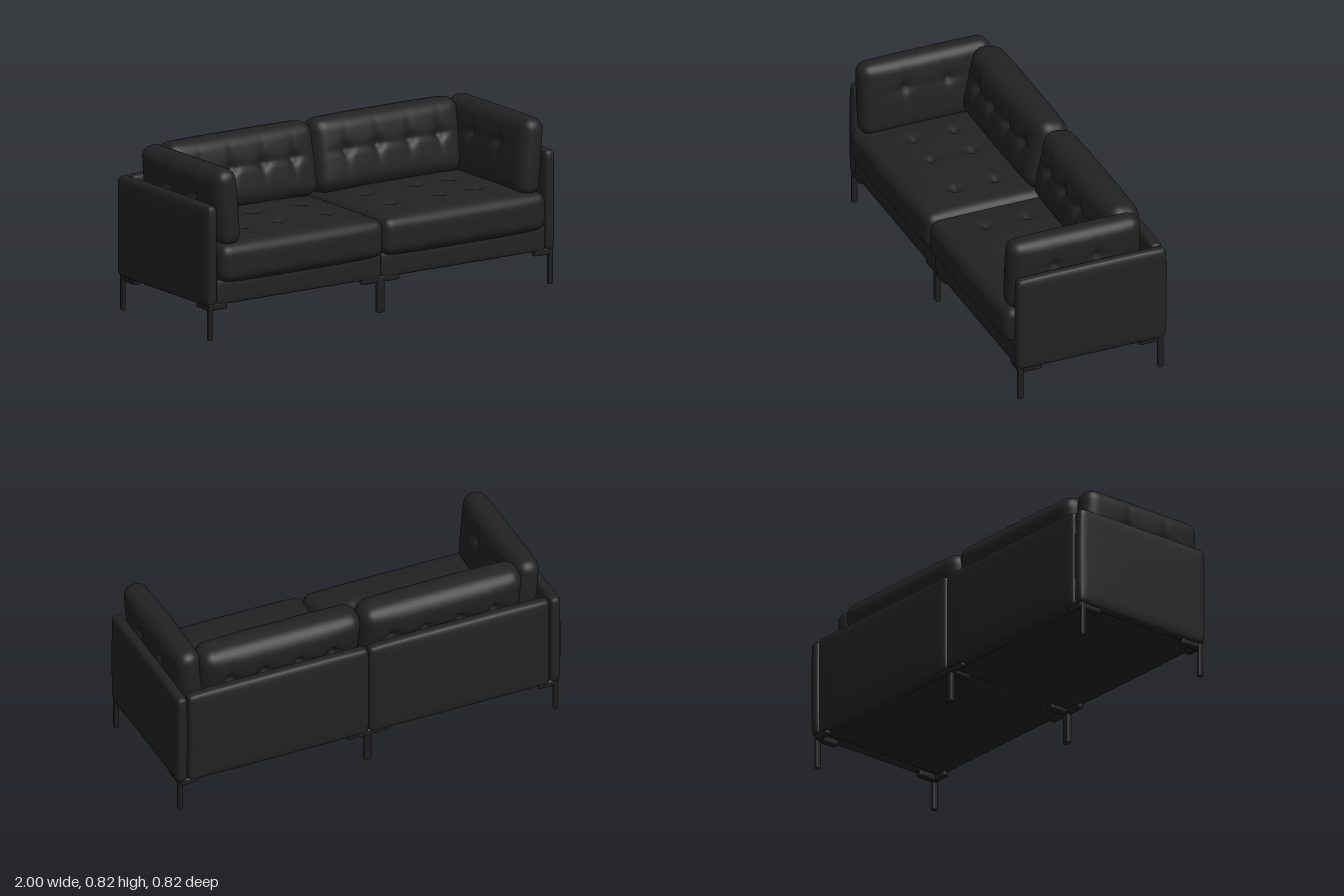
import * as THREE from 'three';
import { mergeVertices } from 'three/addons/utils/BufferGeometryUtils.js';
import { RoundedBoxGeometry } from 'three/addons/geometries/RoundedBoxGeometry.js';

const fabric = new THREE.MeshStandardMaterial({ name: 'charcoal upholstery', color: 0x222222 });
const metal = new THREE.MeshStandardMaterial({ name: 'dark leg metal', color: 0x1e1e1e });

// Rounded, puffed block; tufts are button dimples on the two faces across the thin axis.
function paddedBlock({ size, r, puff = [0, 0, 0], step = 0.014, dense = false, axis = 0, tufts = [], depth = 0 }) {
  const segs = size.map((s) => Math.max(8, Math.round(s / step)));
  let geo = new THREE.BoxGeometry(...size, ...segs);
  geo.deleteAttribute('normal');
  geo.deleteAttribute('uv');
  geo = mergeVertices(geo, 1e-5);
  const pos = geo.attributes.position;
  const half = size.map((s) => s / 2);
  const [a, b] = [0, 1, 2].filter((i) => i !== axis);
  const p = new THREE.Vector3();
  const core = new THREE.Vector3();
  for (let i = 0; i < pos.count; i++) {
    p.fromBufferAttribute(pos, i);
    const q = p.toArray().map((v, k) => (dense ? Math.sin((v / half[k]) * Math.PI / 2) * half[k] : v));
    // round the edges
    core.fromArray(q.map((v, k) => THREE.MathUtils.clamp(v, r - half[k], half[k] - r)));
    p.fromArray(q).sub(core);
    if (p.lengthSq() > 0) p.setLength(r);
    const out = p.add(core).toArray();
    const u = out.map((v, k) => v / half[k]);
    // swell each pair of faces
    const swollen = out.map((v, k) => {
      const [m, n] = [0, 1, 2].filter((j) => j !== k);
      return v + puff[k] * u[k] * (1 - u[m] ** 4) * (1 - u[n] ** 4);
    });
    // pull in the buttons and the creases running from them
    let pull = 0;
    for (const [ta, tb] of tufts) {
      const da = out[a] - ta, db = out[b] - tb;
      const button = Math.exp(-(da * da + db * db) / 0.0008);
      const creaseA = Math.exp(-((da / 0.016) ** 2) - (db / 0.085) ** 2);
      const creaseB = Math.exp(-((db / 0.016) ** 2) - (da / 0.085) ** 2);
      pull += depth * (0.7 * button + 0.25 * creaseA + 0.25 * creaseB);
    }
    swollen[axis] -= u[axis] * pull;
    pos.setXYZ(i, ...swollen);
  }
  geo.computeVertexNormals();
  return geo;
}

export function createModel() {
  const sofa = new THREE.Group();
  sofa.name = 'sofa';
  const add = (name, geo, mat, x, y, z, rx = 0, rz = 0) => {
    const mesh = new THREE.Mesh(geo, mat);
    mesh.name = name;
    mesh.position.set(x, y, z);
    mesh.rotation.set(rx, 0, rz);
    sofa.add(mesh);
  };
  // box given by its lower and upper corners
  const bar = (name, lo, hi, r) => {
    const s = hi.map((v, i) => v - lo[i]);
    add(name, new RoundedBoxGeometry(...s, 3, r), metal, ...lo.map((v, i) => v + s[i] / 2));
  };

  const arm = paddedBlock({ size: [0.056, 0.485, 0.765], r: 0.024, puff: [0.006, 0.005, 0.005], step: 0.03, dense: true });
  const back = paddedBlock({ size: [0.935, 0.485, 0.06], r: 0.022, puff: [0, 0.005, 0.01], step: 0.03, dense: true });
  const base = paddedBlock({ size: [0.94, 0.12, 0.72], r: 0.014, puff: [0, 0, 0.004], step: 0.03, dense: true });
  const seat = paddedBlock({
    size: [0.928, 0.18, 0.735], r: 0.045, puff: [0.002, 0.026, 0.012], axis: 1, depth: 0.022,
    tufts: [-0.28, 0, 0.2].flatMap((x) => [[x, -0.06], [x, 0.15]]),
  });
  const seatMirrored = paddedBlock({
    size: [0.928, 0.18, 0.735], r: 0.045, puff: [0.002, 0.026, 0.012], axis: 1, depth: 0.022,
    tufts: [0.28, 0, -0.2].flatMap((x) => [[x, -0.06], [x, 0.15]]),
  });
  const backCushion = paddedBlock({
    size: [0.83, 0.355, 0.155], r: 0.06, puff: [0.002, 0.006, 0.022], axis: 2, depth: 0.032,
    tufts: [-0.26, -0.085, 0.095, 0.27].map((x) => [x, 0.015]),
  });
  const sideCushion = paddedBlock({
    size: [0.112, 0.37, 0.67], r: 0.05, puff: [0.016, 0.004, 0.006], axis: 0, depth: 0.022,
    tufts: [-0.1, 0.12].map((z) => [0.04, z]),
  });

  for (const s of [1, -1]) {
    const side = s > 0 ? 'left' : 'right';
    // frame
    add(`${side}Arm`, arm, fabric, s * 0.966, 0.41, -0.015);
    add(`${side}BackPanel`, back, fabric, s * 0.4685, 0.41, -0.37);
    add(`${side}Base`, base, fabric, s * 0.47, 0.228, 0.003);
    // cushions
    add(`${side}SeatCushion`, s > 0 ? seat : seatMirrored, fabric, s * 0.465, 0.367, 0.03);
    add(`${side}BackCushion`, backCushion, fabric, s * 0.417, 0.636, -0.236, -0.2);
    add(`${side}SideCushion`, sideCushion, fabric, s * 0.867, 0.63, 0.038, 0, -s * 0.09);
    // corner legs with L-shaped brackets
    for (const [end, z, d] of [['Front', 0.349, -1], ['Back', -0.371, 1]]) {
      const zs = [z + d * 0.11, z - d * 0.012].sort((m, n) => m - n);
      const xs = (m, n) => [s * m, s * n].sort((e, f) => e - f);
      const [l0, l1] = xs(0.962, 0.984);
      const [i0, i1] = xs(0.88, 0.975);
      const [o0, o1] = xs(0.945, 0.98);
      bar(`${side}${end}Leg`, [l0, 0, z - 0.014], [l1, 0.18, z + 0.014], 0.008);
      bar(`${side}${end}Bracket`, [i0, 0.145, z - 0.02], [i1, 0.18, z + 0.012], 0.01);
      bar(`${side}${end}SideBracket`, [o0, 0.142, zs[0]], [o1, 0.18, zs[1]], 0.01);
    }
  }

  // middle legs with T-shaped brackets
  for (const [end, z, d] of [['front', 0.349, -1], ['back', -0.371, 1]]) {
    const zs = [z, z + d * 0.11].sort((m, n) => m - n);
    bar(`${end}MiddleLeg`, [-0.02, 0, z - 0.014], [0.02, 0.18, z + 0.014], 0.008);
    bar(`${end}MiddleBracket`, [-0.11, 0.147, z - 0.018], [0.11, 0.18, z + 0.012], 0.01);
    bar(`${end}MiddleCrossBracket`, [-0.02, 0.147, zs[0]], [0.02, 0.18, zs[1]], 0.01);
  }
  return sofa;
}
